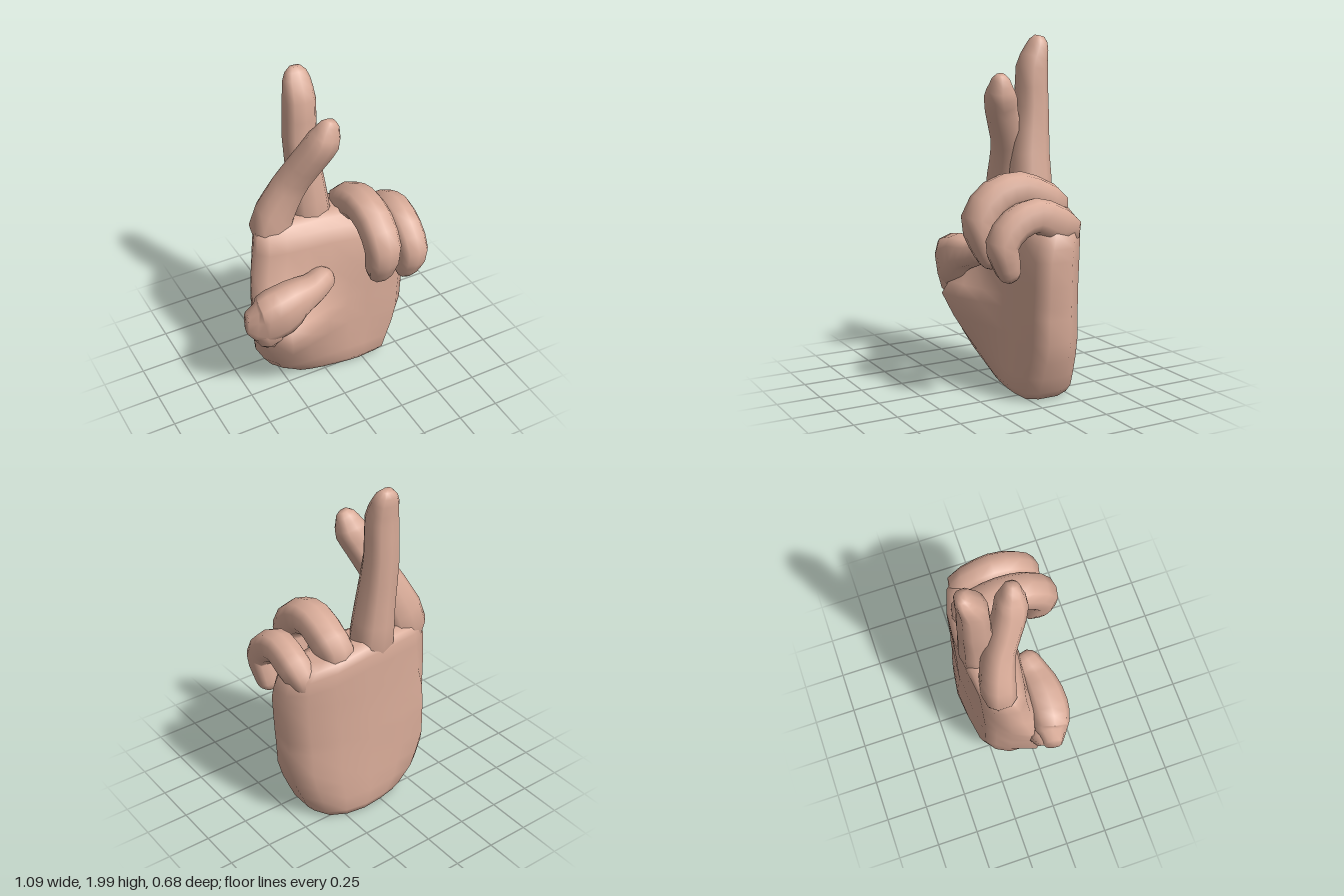
import * as THREE from 'three';

const skin = new THREE.MeshStandardMaterial({ color: 0xd8ab98 });

// Skin a list of equal-length rings and close both ends.
function loft(name, rings) {
  const n = rings[0].length, pos = [], idx = [];
  rings.forEach(r => r.forEach(p => pos.push(p.x, p.y, p.z)));
  for (let i = 0; i < rings.length - 1; i++) {
    for (let j = 0; j < n; j++) {
      const k = (j + 1) % n, a = i * n + j, b = i * n + k;
      idx.push(a, b, a + n, b, b + n, a + n);
    }
  }
  [0, rings.length - 1].forEach((i, end) => {
    const c = new THREE.Vector3();
    rings[i].forEach(p => c.addScaledVector(p, 1 / n));
    const m = pos.length / 3;
    pos.push(c.x, c.y, c.z);
    for (let j = 0; j < n; j++) {
      const a = i * n + j, b = i * n + (j + 1) % n;
      idx.push(m, end ? a : b, end ? b : a);
    }
  });
  const g = new THREE.BufferGeometry();
  g.setAttribute('position', new THREE.Float32BufferAttribute(pos, 3));
  g.setIndex(idx);
  g.computeVertexNormals();
  const mesh = new THREE.Mesh(g, skin);
  mesh.name = name;
  return mesh;
}

// Finger along points [x, y, z, half width along side, half thickness], with a rounded tip.
function finger(name, side, pts, tip = 0.8) {
  const centre = new THREE.CatmullRomCurve3(pts.map(p => new THREE.Vector3(p[0], p[1], p[2])));
  const size = new THREE.CatmullRomCurve3(pts.map(p => new THREE.Vector3(p[3], p[4], 0)));
  const steps = 2 * (pts.length - 1), rings = [], sides = 10;
  const ring = (c, T, w, t) => {
    const v = new THREE.Vector3().crossVectors(T, side).normalize();
    const u = new THREE.Vector3().crossVectors(v, T);
    const r = [];
    for (let j = 0; j < sides; j++) {
      const a = (j + 0.5) / sides * Math.PI * 2, ca = Math.cos(a), sa = Math.sin(a);
      // slightly squared ellipse
      const x = Math.sign(ca) * Math.abs(ca) ** 0.8, y = Math.sign(sa) * Math.abs(sa) ** 0.8;
      r.push(c.clone().addScaledVector(u, x * w).addScaledVector(v, y * t));
    }
    rings.push(r);
  };
  for (let i = 0; i <= steps; i++) {
    const s = size.getPoint(i / steps);
    ring(centre.getPoint(i / steps), centre.getTangent(i / steps), s.x, s.y);
  }
  const T = centre.getTangent(1), end = centre.getPoint(1), s = size.getPoint(1);
  [[0.55, 0.78], [0.9, 0.42]].forEach(([d, k]) =>
    ring(end.clone().addScaledVector(T, d * tip * s.y), T, s.x * k, s.y * k));
  return loft(name, rings);
}

// Palm: one rounded outline fitted to a box [y, xMin, xMax, zBack, zFront, thumb bulge] at each height.
function palm() {
  const outline = [
    [1, -0.1], [1, 0.6], [0.87, 0.95], [0.45, 1], [0.2, 0.97], [-0.1, 0.9], [-0.4, 0.82], [-0.66, 0.72],
    [-0.88, 0.6], [-1, 0.3], [-0.98, -0.1], [-0.92, -0.5], [-0.72, -0.8], [-0.35, -0.93], [0.1, -1],
    [0.5, -0.9], [0.82, -0.62]
  ].reverse();
  const rows = [
    [0.01, -0.15, 0.35, -0.3, 0.0, 0], [0.015, -0.18, 0.38, -0.32, 0.02, 0], [0.06, -0.23, 0.42, -0.34, 0.05, 0],
    [0.15, -0.34, 0.46, -0.34, 0.05, 0.04], [0.25, -0.4, 0.5, -0.335, 0.05, 0.1],
    [0.36, -0.455, 0.53, -0.33, 0.05, 0.15], [0.5, -0.49, 0.535, -0.325, 0.05, 0.22],
    [0.57, -0.48, 0.54, -0.325, 0.05, 0.17], [0.68, -0.45, 0.545, -0.32, 0.05, 0.08],
    [0.82, -0.41, 0.55, -0.32, 0.05, 0], [0.98, -0.385, 0.545, -0.32, 0.03, 0],
    [1.06, -0.37, 0.53, -0.32, 0.0, 0], [1.1, -0.34, 0.48, -0.3, -0.06, 0], [1.125, -0.26, 0.4, -0.26, -0.1, 0]
  ];
  return loft('palm', rows.map(([y, x0, x1, z0, z1, bulge]) => outline.map(([s, t]) => {
    let x = (x0 + x1) / 2 + s * (x1 - x0) / 2;
    let z = (z0 + z1) / 2 + t * (z1 - z0) / 2;
    // thumb-side back corner is cut off at a slant
    x = Math.max(x, -0.516 - 0.695 * z);
    // ball of the thumb: a ridge that falls away to both sides
    if (t > 0) {
      const ridge = x > -0.3 ? (0.12 - x) / 0.42 : 1 - (-0.3 - x) * 3.5;
      z += bulge * THREE.MathUtils.clamp(ridge, 0, 1);
    }
    // knuckle line drops toward the little finger
    const drop = y > 0.9 ? Math.max(0, x - 0.1) * 0.2 : 0;
    return new THREE.Vector3(x, y - drop, z);
  })));
}

export function createModel() {
  const hand = new THREE.Group();
  hand.name = 'crossedFingersHand';
  const X = new THREE.Vector3(1, 0, 0), Z = new THREE.Vector3(0, 0, 1);
  hand.add(palm());

  // Two raised, crossed fingers
  hand.add(finger('middleFinger', X, [
    [0.01, 0.88, -0.18, 0.08, 0.07], [0.005, 1.08, -0.205, 0.118, 0.118], [-0.015, 1.33, -0.215, 0.1, 0.108],
    [-0.035, 1.6, -0.235, 0.095, 0.09], [-0.035, 1.82, -0.235, 0.09, 0.085], [-0.033, 1.93, -0.265, 0.075, 0.058]
  ], 1.3));
  hand.add(finger('indexFinger', X, [
    [-0.22, 0.88, -0.16, 0.07, 0.06], [-0.25, 1.09, -0.18, 0.125, 0.1], [-0.19, 1.26, -0.16, 0.112, 0.09],
    [-0.125, 1.4, -0.125, 0.1, 0.082], [-0.045, 1.58, -0.045, 0.093, 0.085], [0.0, 1.67, -0.015, 0.09, 0.085],
    [0.02, 1.735, -0.005, 0.067, 0.058]
  ], 1.1));

  // Two curled fingers
  hand.add(finger('ringFinger', X, [
    [0.24, 0.96, -0.2, 0.07, 0.06], [0.24, 1.075, -0.19, 0.1, 0.11], [0.24, 1.125, -0.12, 0.104, 0.105],
    [0.235, 1.178, 0.0, 0.106, 0.1], [0.235, 1.15, 0.14, 0.104, 0.1], [0.235, 1.03, 0.245, 0.102, 0.095],
    [0.24, 0.9, 0.22, 0.09, 0.08], [0.255, 0.81, 0.185, 0.072, 0.064]
  ]));
  hand.add(finger('littleFinger', X, [
    [0.42, 0.9, -0.18, 0.05, 0.05], [0.45, 0.985, -0.165, 0.085, 0.09], [0.452, 1.03, -0.08, 0.09, 0.1],
    [0.45, 1.07, 0.02, 0.09, 0.095], [0.445, 1.03, 0.14, 0.09, 0.09], [0.445, 0.93, 0.22, 0.088, 0.085],
    [0.44, 0.84, 0.2, 0.08, 0.075], [0.435, 0.765, 0.175, 0.068, 0.06]
  ]));

  // Thumb: short root rising from the palm, then the bent upper part lying across it
  hand.add(finger('thumbRoot', Z, [
    [-0.34, 0.42, -0.02, 0.06, 0.06], [-0.4, 0.54, 0.05, 0.11, 0.1], [-0.42, 0.64, 0.06, 0.11, 0.11]
  ]));
  hand.add(finger('thumb', Z, [
    [-0.535, 0.65, 0.06, 0.05, 0.07], [-0.44, 0.645, 0.075, 0.1, 0.15], [-0.35, 0.69, 0.095, 0.115, 0.155],
    [-0.25, 0.745, 0.1, 0.11, 0.115], [-0.13, 0.765, 0.085, 0.09, 0.082], [-0.04, 0.795, 0.06, 0.075, 0.068]
  ]));
  return hand;
}
